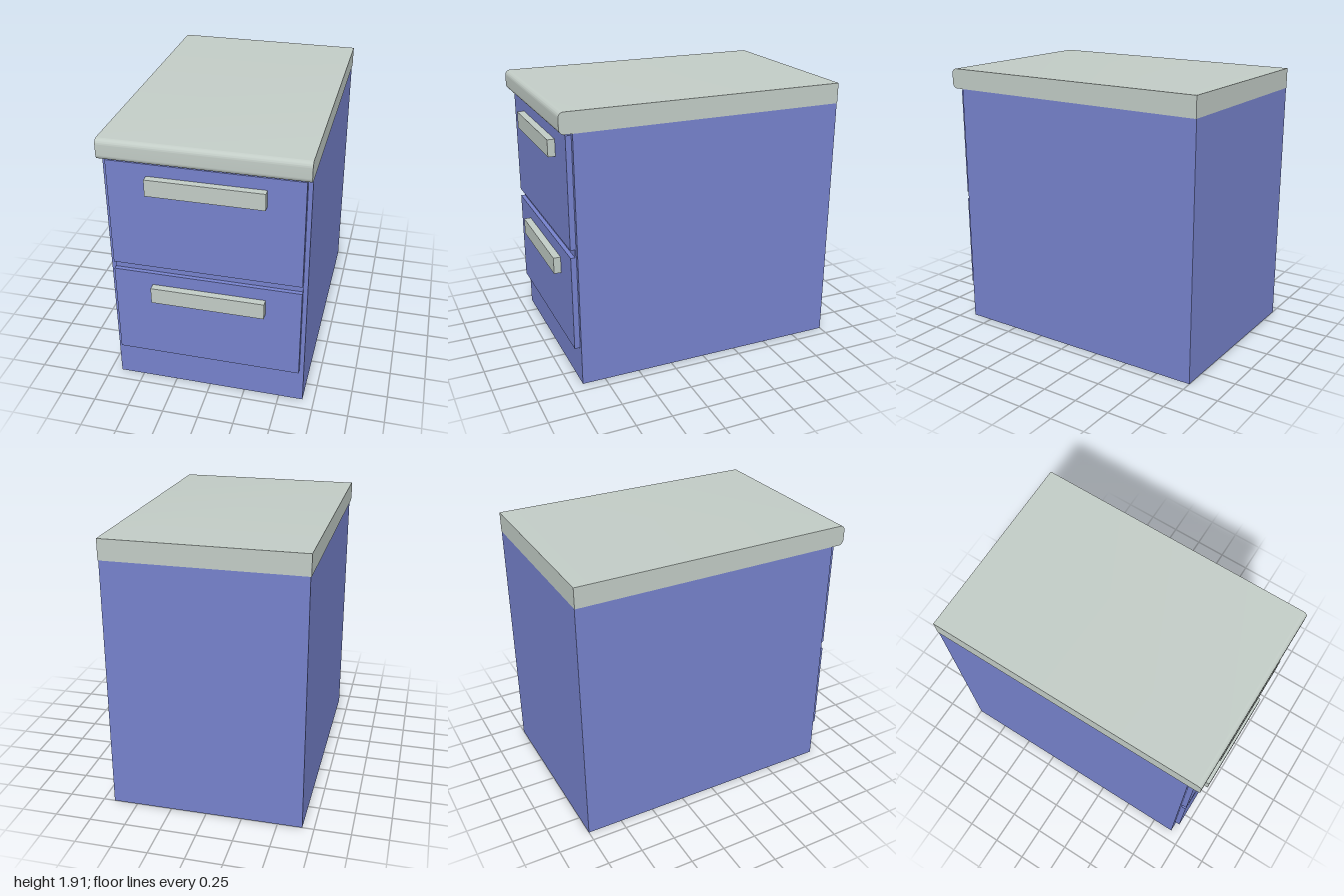
import * as THREE from 'three';
import { toCreasedNormals } from 'three/addons/utils/BufferGeometryUtils.js';

const blue = new THREE.MeshStandardMaterial({ color: 0x7682cc });
const stone = new THREE.MeshStandardMaterial({ color: 0xc2ccc6 });

// Box given by its low and high limits on each axis
function block(name, material, [x0, x1], [y0, y1], [z0, z1]) {
  const mesh = new THREE.Mesh(new THREE.BoxGeometry(x1 - x0, y1 - y0, z1 - z0), material);
  mesh.position.set((x0 + x1) / 2, (y0 + y1) / 2, (z0 + z1) / 2);
  mesh.name = name;
  return mesh;
}

// Slab with a rounded front edge: side profile (z, y) extruded across x
function createWorktop() {
  const y0 = 1.773, y1 = 1.915, r = 0.036, width = 1.35;
  const profile = new THREE.Shape();
  profile.moveTo(-1, y0);
  profile.lineTo(1 - r, y0);
  profile.absarc(1 - r, y0 + r, r, -Math.PI / 2, 0);
  profile.absarc(1 - r, y1 - r, r, 0, Math.PI / 2);
  profile.lineTo(-1, y1);
  profile.closePath();
  const slab = new THREE.ExtrudeGeometry(profile, { depth: width, bevelEnabled: false, curveSegments: 8 });
  slab.translate(0, 0, -width / 2).rotateY(-Math.PI / 2);
  const mesh = new THREE.Mesh(toCreasedNormals(slab, 0.5), stone);
  mesh.name = 'worktop';
  return mesh;
}

export function createModel() {
  const model = new THREE.Group();
  model.name = 'drawerCabinet';

  model.add(block('cabinetBody', blue, [-0.67, 0.67], [0, 1.773], [-1, 0.912]));
  model.add(block('dividerRail', blue, [-0.64, 0.64], [0.935, 0.99], [0.9, 0.92]));
  model.add(createWorktop());

  // Two drawers, each with a front panel and a bar handle
  const drawers = [
    { name: 'lowerDrawer', front: [0.267, 0.935], grip: [0.729, 0.845] },
    { name: 'upperDrawer', front: [0.99, 1.755], grip: [1.555, 1.671] },
  ];
  for (const { name, front, grip } of drawers) {
    const drawer = new THREE.Group();
    drawer.name = name;
    drawer.add(block('drawerFront', blue, [-0.64, 0.64], front, [0.9, 0.95]));
    drawer.add(block('handle', stone, [-0.374, 0.4], grip, [0.95, 1]));
    model.add(drawer);
  }
  return model;
}
